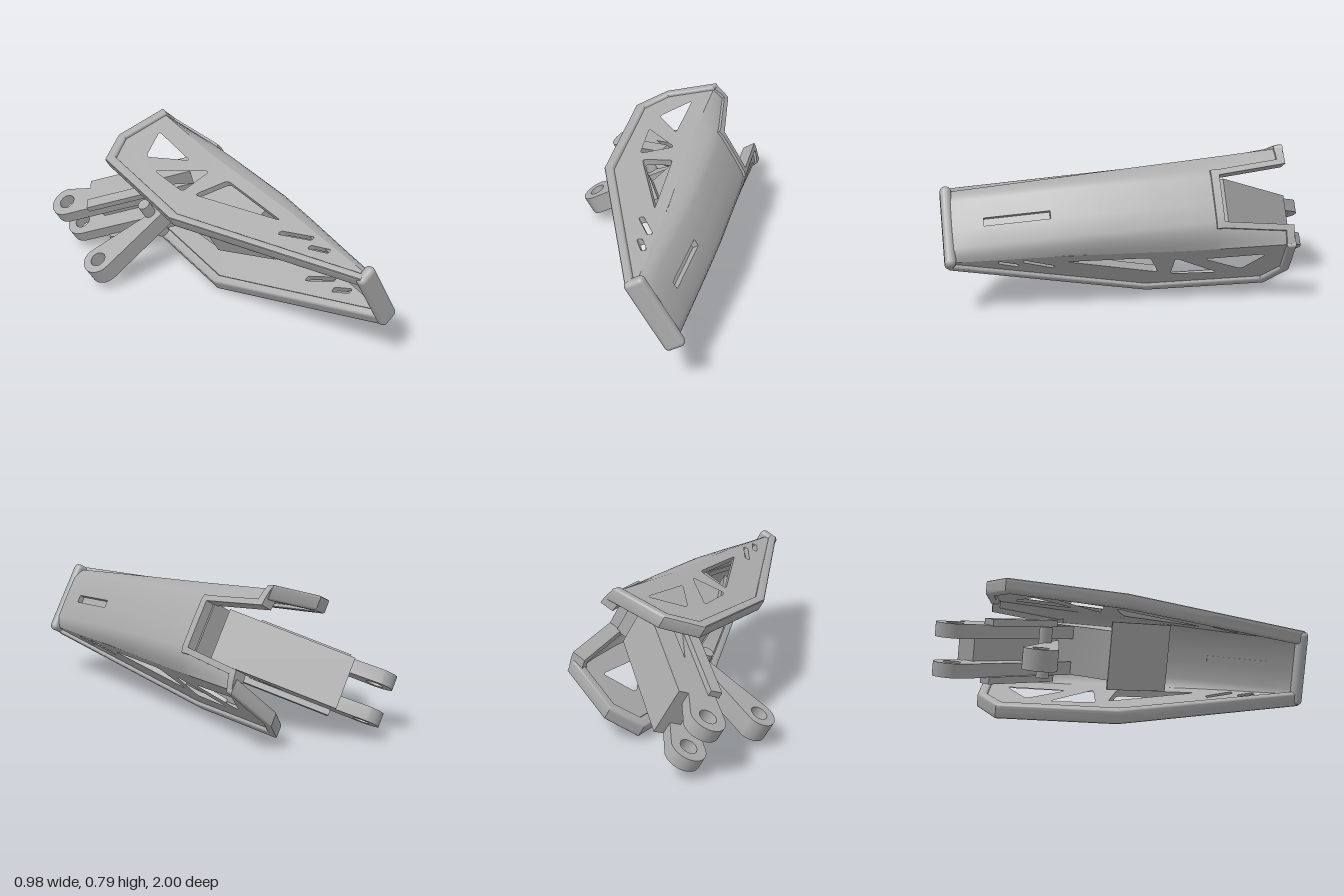
import * as THREE from 'three';
import { toCreasedNormals } from 'three/addons/utils/BufferGeometryUtils.js';
import { RoundedBoxGeometry } from 'three/addons/geometries/RoundedBoxGeometry.js';

const grey = new THREE.MeshStandardMaterial({ color: 0xacacac });
grey.name = 'grey';

function addMesh(parent, name, geometry) {
  const mesh = new THREE.Mesh(geometry, grey);
  mesh.name = name;
  parent.add(mesh);
  return mesh;
}

// Piecewise linear lookup in a list of [key, value], keys ascending
function lookup(table, k) {
  let i = 0;
  while (i < table.length - 2 && k > table[i + 1][0]) i++;
  const [k0, v0] = table[i], [k1, v1] = table[i + 1];
  return v0 + (v1 - v0) * (k - k0) / (k1 - k0);
}

// Spine crown height, bend height and the slanted plane of the side plates
const crown = z => lookup([[-0.71, 0.605], [-0.36, 0.598], [-0.2, 0.585], [0.25, 0.53], [0.48, 0.485], [0.8, 0.418], [1, 0.378]], z);
const bend = z => lookup([[-0.71, 0.58], [-0.2, 0.495], [0.4, 0.435], [1, 0.345]], z);
const plane = (z, y) => 0.324 - 0.072 * z - 0.215 * y;
const flat = () => 0;

// Closed outline with softened corners
function softOutline(path, pts, r) {
  const v = pts.map(p => new THREE.Vector2(p[0], p[1]));
  v.forEach((p, i) => {
    const prev = v[(i + v.length - 1) % v.length], next = v[(i + 1) % v.length];
    const a = p.clone().add(prev.clone().sub(p).setLength(r));
    const b = p.clone().add(next.clone().sub(p).setLength(r));
    if (i === 0) path.moveTo(a.x, a.y); else path.lineTo(a.x, a.y);
    path.quadraticCurveTo(p.x, p.y, b.x, b.y);
  });
  path.closePath();
  return path;
}

const polygon = pts => new THREE.Shape(pts.map(p => new THREE.Vector2(p[0], p[1])));

// Slab drawn in (z, y), reaching from x0 to x1 off a base plane, on either side
function slab(shape, x0, x1, side = 1, base = flat, bevel = 0) {
  let geo = new THREE.ExtrudeGeometry(shape, {
    depth: x1 - x0 - 2 * bevel, curveSegments: 12, bevelEnabled: bevel > 0,
    bevelSize: bevel, bevelThickness: bevel, bevelOffset: -bevel, bevelSegments: 3,
  });
  if (geo.index) geo = geo.toNonIndexed();
  const p = geo.attributes.position;
  const out = [];
  for (let i = 0; i < p.count; i += 3) {
    for (const k of side > 0 ? [0, 2, 1] : [0, 1, 2]) {
      const z = p.getX(i + k), y = p.getY(i + k);
      out.push(side * (base(z, y) + x0 + bevel + p.getZ(i + k)), y, z);
    }
  }
  const result = new THREE.BufferGeometry();
  result.setAttribute('position', new THREE.Float32BufferAttribute(out, 3));
  return toCreasedNormals(result, 0.6);
}

// Spine sheet: a grid of cells, with walls wherever a neighbouring cell is open
const rows = [-0.71, -0.67, -0.36, -0.32, -0.2, 0, 0.25, 0.48, 0.8, 0.96];
function columns(z) {
  const edge = plane(z, bend(z));
  const notch = z > -0.36 ? 0.12 : 0.12 + (-0.36 - z) * 0.11;
  const lip = notch + 0.03;
  const half = [0.02, notch, lip, ...[0.35, 0.7, 1].map(f => lip + (edge - lip) * f)];
  return [...half.map(x => -x).reverse(), ...half];
}
function sheet(isSolid, raise, thickness) {
  const pos = [];
  const cols = rows.map(columns);
  const point = (i, j, low) => {
    const z = rows[i], x = cols[i][j], e = cols[i][11];
    const f = Math.max(0, (Math.abs(x) - 0.1) / (e - 0.1));
    const y = crown(z) - (crown(z) - bend(z)) * Math.pow(f, 2.2);
    return [x, y + (low ? raise - thickness : raise), z];
  };
  const quad = (a, b, c, d) => pos.push(...a, ...b, ...c, ...a, ...c, ...d);
  const solid = (i, j) => i >= 0 && j >= 0 && i < rows.length - 1 && j < 11 && isSolid(i, j);
  for (let i = 0; i < rows.length - 1; i++) for (let j = 0; j < 11; j++) {
    if (!solid(i, j)) continue;
    const ring = [[i, j], [i + 1, j], [i + 1, j + 1], [i, j + 1]];
    const next = [[i, j - 1], [i + 1, j], [i, j + 1], [i - 1, j]];
    const top = ring.map(c => point(...c, false)), low = ring.map(c => point(...c, true));
    quad(...top);
    quad(low[3], low[2], low[1], low[0]);
    next.forEach((n, k) => {
      const m = (k + 1) % 4;
      if (!solid(...n)) quad(top[k], low[k], low[m], top[m]);
    });
  }
  const geo = new THREE.BufferGeometry();
  geo.setAttribute('position', new THREE.Float32BufferAttribute(pos, 3));
  return toCreasedNormals(geo, 0.6);
}

// Bar with one round, drilled end
function bar(z, y, angle, length, r, hole) {
  const s = new THREE.Shape();
  const dz = Math.cos(angle), dy = Math.sin(angle);
  s.moveTo(z + dz * length - dy * r, y + dy * length + dz * r);
  s.absarc(z, y, r, angle + Math.PI / 2, angle + Math.PI * 1.5, false);
  s.lineTo(z + dz * length + dy * r, y + dy * length - dz * r);
  s.closePath();
  s.holes.push(new THREE.Path().absarc(z, y, hole, 0, Math.PI * 2, true));
  return s;
}

export function createModel() {
  const model = new THREE.Group();
  model.name = 'linkageCover';
  const body = new THREE.Group();
  body.name = 'tiltedBody';
  body.rotation.z = -Math.PI / 3;
  body.position.set(-0.153, 0.265, 0);
  model.add(body);

  // Spine with rear notch, recessed slot, and the raised lip round the notch
  const notched = (i, j) => i < 2 && j >= 4 && j <= 6;
  const slot = (i, j) => i === 7 && j === 5;
  addMesh(body, 'spine', sheet((i, j) => !notched(i, j) && !slot(i, j), 0, 0.035));
  addMesh(body, 'slotFloor', sheet(slot, -0.03, 0.01));
  addMesh(body, 'notchLip', sheet((i, j) => !notched(i, j) &&
    (i === 0 || (i === 1 && (j === 3 || j === 7)) || (i === 2 && j >= 3 && j <= 7)), 0.014, 0.07));

  // Slanted side plates with windows and rims
  const lower = [[0.98, 0.3], [-0.05, 0.045], [-0.67, 0.137], [-0.76, 0.31], [-0.715, 0.595]];
  const inner = [[-0.67, 0.585], [-0.712, 0.315], [-0.64, 0.185], [-0.04, 0.093], [0.98, 0.34]];
  const windows = [
    [[-0.29, 0.40], [-0.51, 0.285], [-0.60, 0.46]],
    [[-0.14, 0.405], [-0.15, 0.22], [-0.39, 0.24]],
    [[0.41, 0.365], [-0.01, 0.41], [-0.08, 0.24]],
    [[0.46, 0.29], [0.62, 0.355], [0.62, 0.382], [0.46, 0.317]],
    [[0.64, 0.305], [0.74, 0.34], [0.74, 0.367], [0.64, 0.332]],
  ];
  const plate = polygon([...lower.slice(0, 4), [-0.71, bend(-0.71)], [-0.2, bend(-0.2)], [0.4, bend(0.4)], [0.98, bend(0.98)]]);
  for (const w of windows) plate.holes.push(softOutline(new THREE.Path(), w, w.length > 3 ? 0.012 : 0.025));
  const rim = polygon([...lower, ...inner]);
  for (const side of [1, -1]) {
    const name = side > 0 ? 'right' : 'left';
    addMesh(body, name + 'SidePlate', slab(plate, -0.035, 0, side, plane));
    addMesh(body, name + 'Rim', slab(rim, -0.055, 0.019, side, plane, 0.01));
  }

  // Front cap
  addMesh(body, 'frontCap', new RoundedBoxGeometry(0.405, 0.105, 0.055, 4, 0.025)).position.set(0, 0.34, 0.9725);

  // Wedge under the spine that anchors the arm and the strut
  addMesh(body, 'anchorRamp', slab(polygon([[0.23, 0.3], [0.23, 0.33], [-0.1, 0.217], [-0.1, 0.187]]), -0.178, 0.178));
  addMesh(body, 'anchorBlock', slab(polygon([[0.22, 0.31], [0.22, 0.48], [-0.37, 0.56], [-0.37, 0.4], [-0.21, 0.3], [-0.1, 0.195]]), -0.13, 0.13));

  // Forked arm leaning backwards, with filler block and flange
  const angle = 0.75, fz = -0.91, fy = -0.117;
  const at = (t, v) => [fz + Math.cos(angle) * t - Math.sin(angle) * v, fy + Math.sin(angle) * t + Math.cos(angle) * v];
  const block = (t0, t1, v0, v1) => polygon([at(t0, v0), at(t1, v0), at(t1, v1), at(t0, v1)]);
  for (const side of [1, -1]) {
    addMesh(body, 'forkArm', slab(bar(fz, fy, angle, 0.78, 0.09, 0.043), 0.06, 0.13, side));
    addMesh(body, 'forkFlange', slab(block(0.15, 0.62, -0.11, -0.05), 0.125, 0.16, side));
  }
  addMesh(body, 'forkBlock', slab(block(0.14, 0.78, 0, 0.108), -0.13, 0.13));

  // Centre strut and its pivot pin
  addMesh(body, 'centreStrut', slab(bar(-0.5, -0.275, Math.PI / 2 - 0.09, 0.6, 0.085, 0.042), -0.052, 0.052));
  const pin = addMesh(body, 'pivotPin', new THREE.CylinderGeometry(0.033, 0.033, 0.26, 24));
  pin.rotation.z = Math.PI / 2;
  pin.position.set(0, 0.1, -0.45);

  return model;
}
